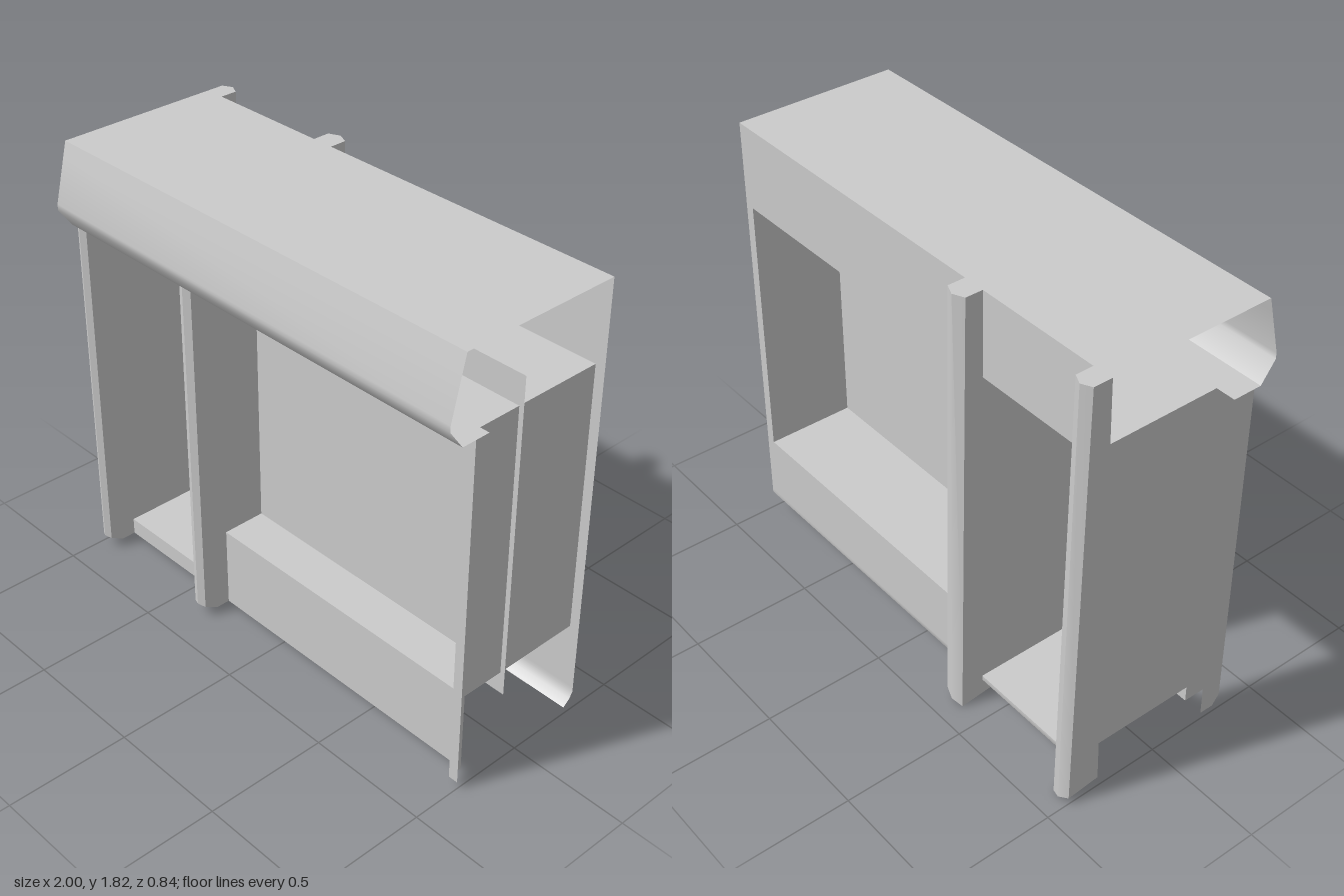
import * as THREE from 'three';
import { toCreasedNormals } from 'three/addons/utils/BufferGeometryUtils.js';

const material = new THREE.MeshStandardMaterial({ color: 0xcccccc, side: THREE.DoubleSide });

// Skin between successive rows of [x, y, z] points
function loft(rows) {
  const n = rows[0].length, index = [];
  for (let r = 0; r < rows.length - 1; r++) {
    for (let i = 0; i < n - 1; i++) {
      const a = r * n + i, b = a + 1, c = a + n, d = c + 1;
      index.push(a, b, d, a, d, c);
    }
  }
  const g = new THREE.BufferGeometry();
  g.setAttribute('position', new THREE.Float32BufferAttribute(rows.flat(2), 3));
  g.setIndex(index);
  return toCreasedNormals(g, 0.75);
}

export function createModel() {
  const model = new THREE.Group();
  const add = (name, rows) => {
    const mesh = new THREE.Mesh(loft(rows), material);
    mesh.name = name;
    model.add(mesh);
  };
  // Sheet swept along x from a [z, y] profile given top to bottom
  const sweep = (name, x0, x1, profile) =>
    add(name, [x0, x1].map(x => profile.map(([z, y]) => [x, y, z])));
  // Upright sheet facing along x, running front to back
  const sideWall = (name, x, zFront, zBack, y0, y1) =>
    add(name, [[[x, y0, zFront], [x, y0, zBack]], [[x, y1, zFront], [x, y1, zBack]]]);

  const TOP = 1.82, HEAD = 1.48, SILL = 0.37, FLOOR = 0.1, BASE = 0.03;
  const FRONT = 0.24, BACK = -0.31;
  const door = [-0.92, -0.4], bay = [-0.31, 0.96];

  // Header: rear face, flat top, bulging fascia and its bottom lip
  sweep('headerTop', -1, 1, [[BACK, TOP], [0.36, TOP]]);
  sweep('headerBack', -1, 1, [[BACK, TOP], [BACK, HEAD]]);
  sweep('headerFascia', -1, 1,
    [[0.36, TOP], [0.375, 1.76], [0.418, 1.585], [0.418, 1.56], [0.36, HEAD]]);
  sweep('headerLip', -1, 1, [[0.36, HEAD], [FRONT, HEAD]]);

  // Ceilings, floor and sill
  sweep('doorCeiling', ...door, [[FRONT, HEAD], [BACK, HEAD]]);
  sweep('bayCeiling', ...bay, [[FRONT, HEAD], [BACK, HEAD]]);
  const skirt = [[BACK, FLOOR], [BACK, 0.08], [-0.295, 0.055], [-0.265, BASE]];
  sweep('doorFloor', ...door, [[FRONT, BASE], [FRONT, FLOOR], [BACK, FLOOR]]);
  sweep('doorSkirt', ...door, skirt);
  sweep('baySill', ...bay, [[FRONT, BASE], [FRONT, SILL], [BACK, SILL]]);
  sweep('bayBackWall', bay[0], 1, [[BACK, SILL], ...skirt]);

  // Thin panel dividing the bay, let into its surround
  sweep('bayPanel', -0.33, 0.98, [[0.06, 1.6], [0.06, 0.28]]);

  // Side walls of the doorway and the bay
  for (const x of door) sideWall('doorSide', x, 0.3, BACK, FLOOR, HEAD);
  for (const x of bay) sideWall('baySide', x, FRONT, BACK, SILL, HEAD);

  // Narrow edge strips at the open end
  sweep('frontEndStrip', 0.96, 1, [[0.3, HEAD], [0.3, BASE]]);
  sideWall('frontEndReturn', 0.96, 0.3, FRONT, BASE, HEAD);
  sweep('backEndStrip', 0.96, 1, [[BACK, HEAD], [BACK, SILL]]);

  // Posts on both sides of the doorway
  for (const [x0, x1, inner] of [[-1, -0.92, 1], [-0.4, -0.31, -1]]) {
    const mid = (x0 + x1) / 2, c = 0.014;
    const front = [[x0, FRONT], [x0, 0.3], [x0 + c, 0.347], [mid, 0.36],
      [x1 - c, 0.347], [x1, 0.3], [x1, FRONT]];
    add('frontPost', [
      front.map(([x, z]) => [x, BASE + Math.max(0, z - 0.31) * 0.5, z]),
      front.map(([x, z]) => [x, HEAD, z]),
    ]);

    // Rear post leans outward to a ridged foot, lower on the doorway side
    const foot = x => 0.015 - inner * (x - mid) * 0.35;
    const section = (edge, ridge, root) =>
      [[x0, root], [x0, edge], [mid, ridge], [x1, edge], [x1, root]];
    const low = section(-0.405, -0.42, -0.27), high = section(-0.38, -0.4, BACK + 0.005);
    add('backPost', [
      low.map(([x, z]) => [x, foot(x) + (z > -0.3 ? 0.015 : 0), z]),
      high.map(([x, z]) => [x, TOP, z]),
    ]);
    add('backPostCap', [
      [[x0, TOP, BACK], [mid, TOP, BACK], [x1, TOP, BACK]],
      [[x0, TOP, -0.38], [mid, TOP, -0.4], [x1, TOP, -0.38]],
    ]);
  }
  return model;
}
